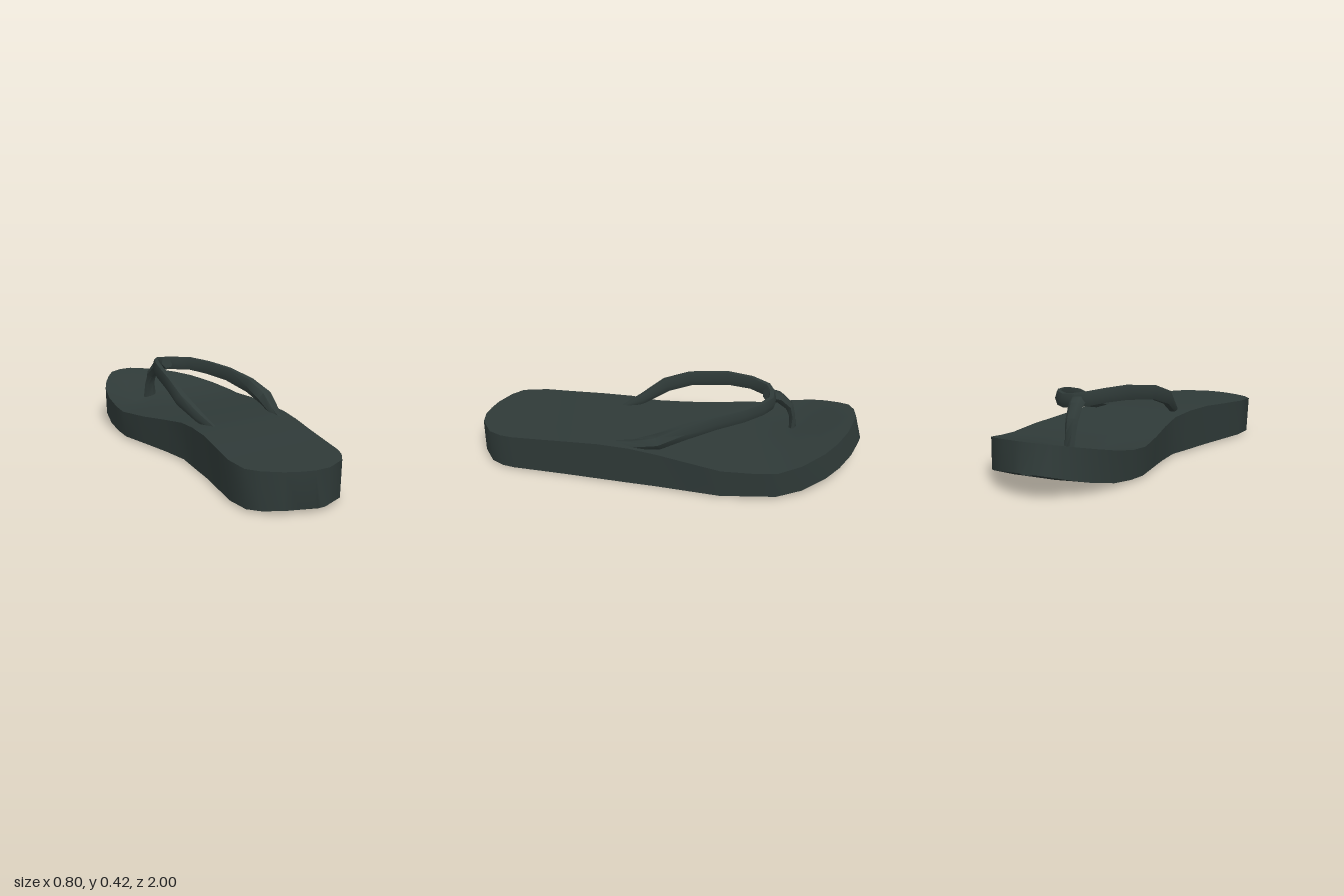
import * as THREE from 'three';
import { toCreasedNormals } from 'three/addons/utils/BufferGeometryUtils.js';

// Joins closed rings of points into a skin, with a fan over each end.
function loft(rings, crease) {
  const n = rings[0].length, pos = [], index = [];
  rings.forEach(r => r.forEach(p => pos.push(p.x, p.y, p.z)));
  for (let i = 0; i < rings.length - 1; i++) {
    for (let j = 0; j < n; j++) {
      const a = i * n + j, b = i * n + (j + 1) % n;
      index.push(a, b, a + n, b, b + n, a + n);
    }
  }
  const last = (rings.length - 1) * n;
  for (let j = 1; j < n - 1; j++) {
    index.push(0, j + 1, j, last, last + j, last + j + 1);
  }
  const g = new THREE.BufferGeometry();
  g.setAttribute('position', new THREE.Float32BufferAttribute(pos, 3));
  g.setIndex(index);
  return toCreasedNormals(g, crease);
}

// Piecewise-linear lookup in [position, value] pairs.
function lookup(table, z) {
  for (let i = 1; i < table.length; i++) {
    const [z0, v0] = table[i - 1], [z1, v1] = table[i];
    if (z <= z1) return v0 + (v1 - v0) * Math.max(0, (z - z0) / (z1 - z0));
  }
  return table[table.length - 1][1];
}

// Sole outline and side profile, from toe (-z) to heel (+z).
const rightEdge = [[-1, -0.09], [-0.98, -0.15], [-0.9, -0.22], [-0.79, -0.28], [-0.65, -0.32],
  [-0.42, -0.35], [-0.18, -0.31], [0.05, -0.27], [0.38, -0.325], [0.7, -0.4], [0.83, -0.4],
  [0.91, -0.34], [0.97, -0.24], [1, -0.14]];
const leftEdge = [[-1, -0.02], [-0.98, 0.03], [-0.93, 0.13], [-0.86, 0.22], [-0.77, 0.3],
  [-0.66, 0.36], [-0.52, 0.4], [-0.24, 0.39], [0.1, 0.29], [0.46, 0.2], [0.87, 0.11],
  [0.95, 0.05], [1, -0.06]];
const topLine = [[-1, 0.25], [-0.8, 0.208], [-0.6, 0.168], [-0.5, 0.155], [-0.36, 0.155],
  [-0.2, 0.17], [0, 0.195], [0.2, 0.218], [0.35, 0.222], [0.6, 0.21], [1, 0.195]];
const bottomLine = [[-1, 0.11], [-0.85, 0.063], [-0.7, 0.025], [-0.55, 0.006], [-0.3, 0.006],
  [0.3, 0], [0.9, 0.006], [1, 0.015]];
// Thumb-side hollow beside the toe post.
const hollow = [[-0.92, 0], [-0.78, 0.03], [-0.64, 0.045], [-0.52, 0.015], [-0.4, 0]];

function soleGeometry() {
  const zs = [-1, -0.98, -0.93, -0.86, -0.78, -0.65, -0.52, -0.42, -0.24, -0.08, 0.08, 0.22,
    0.38, 0.54, 0.7, 0.83, 0.89, 0.95, 0.98, 1];
  const cols = [-1, -0.5, 0, 0.5, 1];
  const rings = zs.map(z => {
    const l = lookup(rightEdge, z), r = lookup(leftEdge, z);
    const mid = (l + r) / 2, half = (r - l) / 2;
    const top = lookup(topLine, z), bottom = lookup(bottomLine, z);
    const lean = 0.035 * THREE.MathUtils.clamp((-z - 0.6) / 0.4, 0, 1);
    const upper = cols.map(t => new THREE.Vector3(mid + t * half,
      top - (t === -0.5 ? lookup(hollow, z) : 0), z + lean));
    const lower = cols.map(t => new THREE.Vector3(mid + t * half * 0.96,
      bottom + (Math.abs(t) === 1 ? 0.006 : 0), z));
    return [...upper, ...lower.reverse()];
  });
  return loft(rings, 0.8);
}

// Flattened six-sided band; each station is [x, y, z, half width, half height].
function bandGeometry(stations) {
  const pts = stations.map(s => new THREE.Vector3(s[0], s[1], s[2]));
  const rings = stations.map(([, , , w, h], i) => {
    const along = pts[Math.min(i + 1, pts.length - 1)].clone().sub(pts[Math.max(i - 1, 0)]).normalize();
    const side = new THREE.Vector3().crossVectors(along, new THREE.Vector3(0, 1, 0)).normalize();
    const up = new THREE.Vector3().crossVectors(side, along);
    return Array.from({ length: 6 }, (_, k) => {
      const a = -k * Math.PI / 3;
      return pts[i].clone().addScaledVector(side, Math.cos(a) * w).addScaledVector(up, Math.sin(a) * h * 1.15);
    });
  });
  // Reverse the ring order of travel so that faces point outwards.
  return loft(rings.map(r => r.reverse()), 1.0);
}

export function createModel() {
  const model = new THREE.Group();
  model.name = 'sandal';
  const rubber = new THREE.MeshStandardMaterial({ color: 0x2f3a38 });
  rubber.name = 'dark rubber';
  rubber.side = THREE.DoubleSide;
  const add = (name, geometry) => {
    const mesh = new THREE.Mesh(geometry, rubber);
    mesh.name = name;
    model.add(mesh);
  };

  add('sole', soleGeometry());

  // Straps run from the sole up and over to the toe post.
  add('rightStrap', bandGeometry([
    [-0.195, 0.2, 0.27, 0.01, 0.015], [-0.22, 0.245, 0.16, 0.025, 0.025],
    [-0.25, 0.315, 0.03, 0.03, 0.035], [-0.235, 0.36, -0.1, 0.025, 0.036],
    [-0.19, 0.385, -0.3, 0.02, 0.036], [-0.14, 0.385, -0.42, 0.02, 0.034],
    [-0.08, 0.375, -0.5, 0.022, 0.034], [-0.02, 0.365, -0.52, 0.022, 0.034]]));
  add('leftStrap', bandGeometry([
    [0.17, 0.195, 0.33, 0.01, 0.015], [0.215, 0.215, 0.2, 0.03, 0.022],
    [0.25, 0.255, 0.07, 0.045, 0.035], [0.235, 0.3, -0.06, 0.03, 0.038],
    [0.2, 0.335, -0.22, 0.022, 0.036], [0.155, 0.35, -0.36, 0.02, 0.035],
    [0.1, 0.36, -0.46, 0.02, 0.034], [0.04, 0.36, -0.51, 0.022, 0.034],
    [-0.03, 0.367, -0.52, 0.022, 0.034]]));

  add('toePost', bandGeometry([
    [-0.03, 0.375, -0.49, 0.045, 0.028], [-0.05, 0.345, -0.56, 0.036, 0.026],
    [-0.062, 0.29, -0.615, 0.032, 0.022], [-0.065, 0.23, -0.635, 0.03, 0.016],
    [-0.062, 0.14, -0.642, 0.036, 0.016]]));

  return model;
}
